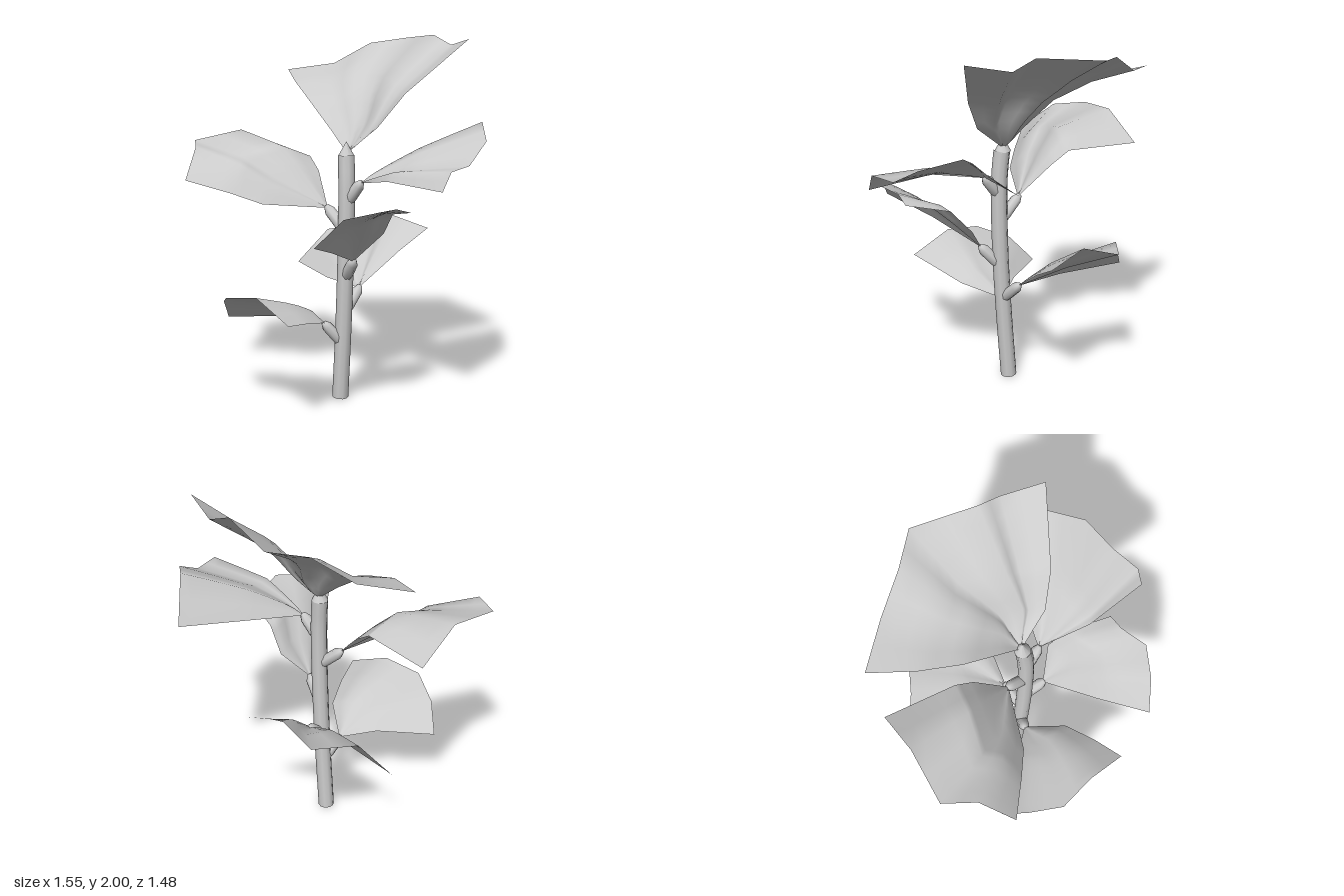
import * as THREE from 'three';

const V = (p) => new THREE.Vector3(...p);
const mat = new THREE.MeshStandardMaterial({ color: 0xcccccc });
const leafMat = new THREE.MeshStandardMaterial({ color: 0xcccccc, side: THREE.DoubleSide });
const stemHeight = 1.37, stemRadius = 0.045;

// Point at parameter t along a polyline
function along(points, t) {
  const s = t * (points.length - 1);
  const i = Math.min(Math.floor(s), points.length - 2);
  return points[i].clone().lerp(points[i + 1], s - i);
}

// Leaf blade: fans out from its base between two side edges, shaped by the tip edge.
// sideA and sideB hold the points of the side edges between base and corners.
function makeLeaf(name, base, tipPoints, sideA, sideB) {
  const tip = tipPoints.map(V), first = tip[0], last = tip[tip.length - 1];
  const edgeA = [V(base), ...sideA.map(V), first];
  const edgeB = [V(base), ...sideB.map(V), last];
  const nu = 2 * (tip.length - 1), nv = 12, pos = [], idx = [];
  for (let j = 0; j <= nv; j++) {
    for (let i = 0; i <= nu; i++) {
      const u = i / nu, v = j / nv;
      const bulge = along(tip, u).sub(first.clone().lerp(last, u)).multiplyScalar(v ** 0.7);
      const p = along(edgeA, v).lerp(along(edgeB, v), u).add(bulge);
      pos.push(p.x, p.y, p.z);
      if (i < nu && j < nv) {
        const k = j * (nu + 1) + i, n = k + nu + 1;
        idx.push(k, k + 1, n + 1, k, n + 1, n);
      }
    }
  }
  const geo = new THREE.BufferGeometry();
  geo.setAttribute('position', new THREE.Float32BufferAttribute(pos, 3));
  geo.setIndex(idx);
  geo.computeVertexNormals();
  const mesh = new THREE.Mesh(geo, leafMat);
  mesh.name = name;
  return mesh;
}

// Short round stalk with a blunt end, rising from the stem's axis to just past the leaf base
function makeStalk(name, path, base) {
  const start = path.getPointAt((base[1] - 0.12) / stemHeight);
  const dir = V(base).sub(start), len = dir.length() * 1.1;
  const profile = [[0.028, 0], [0.032, 0.3], [0.031, 0.8], [0.015, 0.98], [0, 1]]
    .map(([r, t]) => new THREE.Vector2(r, t * len));
  const mesh = new THREE.Mesh(new THREE.LatheGeometry(profile, 8), mat);
  mesh.position.copy(start);
  mesh.quaternion.setFromUnitVectors(new THREE.Vector3(0, 1, 0), dir.normalize());
  mesh.name = name;
  return mesh;
}

export function createModel() {
  const model = new THREE.Group();
  model.name = 'plant';

  // Gently leaning stem, closed at the foot and pointed at the top
  const path = new THREE.CatmullRomCurve3([[-0.03, 0, 0.017], [0, 0.4, 0.017], [0.022, 0.8, 0.017],
    [0.028, 1.2, 0.014], [0.015, stemHeight, 0.008]].map(V));
  const stem = new THREE.Mesh(new THREE.TubeGeometry(path, 16, stemRadius, 10), mat);
  stem.name = 'stem';
  const foot = new THREE.Mesh(new THREE.CircleGeometry(stemRadius, 10), mat);
  foot.name = 'stemFoot';
  foot.rotation.x = Math.PI / 2;
  foot.position.set(-0.03, 0.001, 0.017);
  const bud = new THREE.Mesh(new THREE.ConeGeometry(stemRadius, 0.08, 10), mat);
  bud.name = 'stemTip';
  bud.position.set(0.012, stemHeight + 0.035, 0.005);
  model.add(stem, foot, bud);

  // Crown leaf grows straight from the stem tip
  model.add(makeLeaf('crownLeaf', [0.01, 1.38, 0],
    [[-0.775, 1.78, -0.135], [-0.58, 1.82, -0.33], [-0.4, 1.94, -0.46], [-0.26, 1.97, -0.61],
      [0.08, 2, -0.535], [0.21, 1.95, -0.55], [0.43, 1.99, -0.485]],
    [[-0.12, 1.49, 0.01], [-0.33, 1.64, 0.015], [-0.55, 1.73, -0.035]],
    [[0.19, 1.53, -0.07], [0.285, 1.71, -0.18]]));

  // The other leaves sit on stalks
  const addLeaf = (name, base, ...shape) =>
    model.add(makeLeaf(name, base, ...shape), makeStalk(name + 'Stalk', path, base));

  addLeaf('upperLeftLeaf', [0.12, 1.23, -0.01],
    [[0.26, 1.4, -0.745], [0.47, 1.555, -0.555], [0.65, 1.48, -0.425], [0.72, 1.375, -0.25],
      [0.775, 1.365, -0.085], [0.775, 1.27, -0.03]],
    [], [[0.41, 1.28, 0.03]]);
  addLeaf('upperRightLeaf', [-0.1, 1.07, 0.05],
    [[-0.77, 1.32, -0.05], [-0.745, 1.45, 0.21], [-0.75, 1.41, 0.51], [-0.585, 1.395, 0.595], [-0.45, 1.24, 0.735]],
    [[-0.275, 1.25, -0.01], [-0.375, 1.32, -0.02]], [[-0.21, 1.11, 0.4], [-0.305, 1.17, 0.54]]);
  addLeaf('middleLeftLeaf', [0.125, 0.81, 0.04],
    [[0.49, 1.01, 0.54], [0.565, 1.15, 0.415], [0.635, 1.18, 0.25], [0.575, 1.17, 0.1], [0.57, 1.14, 0]],
    [[0.31, 0.925, 0.31]], [[0.23, 0.965, -0.085], [0.34, 1.09, -0.06]]);
  addLeaf('backLeaf', [-0.03, 0.61, -0.11],
    [[-0.66, 0.64, -0.12], [-0.55, 0.84, -0.26], [-0.44, 0.875, -0.49], [-0.225, 0.95, -0.495], [0, 0.9, -0.578]],
    [[-0.3, 0.62, -0.08]], [[-0.01, 0.79, -0.38]]);
  addLeaf('frontLeaf', [-0.035, 0.435, 0.115],
    [[-0.415, 0.455, 0.505], [-0.3, 0.585, 0.6], [-0.12, 0.655, 0.685], [0.09, 0.69, 0.63], [0.325, 0.585, 0.585]],
    [[-0.18, 0.475, 0.27]], [[0.16, 0.51, 0.25], [0.25, 0.555, 0.415]]);
  return model;
}
